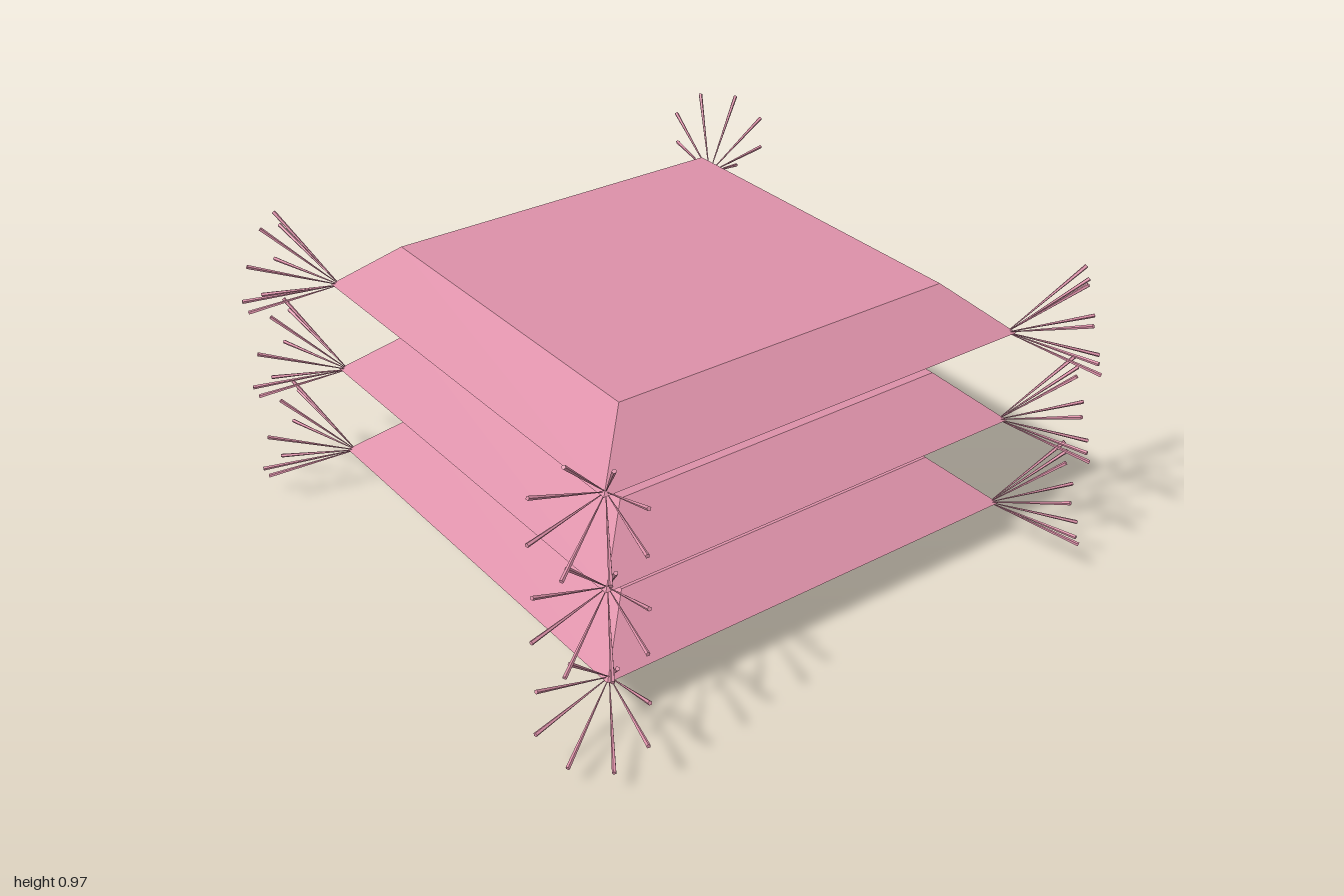
import * as THREE from 'three';

const LAYERS = 3, STEP = 0.3, THREADS = 8;

export function createModel() {
  const model = new THREE.Group();
  model.name = 'cushionStack';
  const pink = new THREE.MeshStandardMaterial({ color: 0xdd91a9, flatShading: true });
  pink.name = 'pink fabric';

  // Square cushion: a four-sided lathe, half widths turned into corner radii
  const profile = [[0, 0], [0.535, 0], [0.737, 0.16], [0.572, 0.305], [0, 0.305]]
    .map(([half, y]) => new THREE.Vector2(half * Math.SQRT2, y));
  const cushionGeo = new THREE.LatheGeometry(profile, 4, Math.PI / 4);

  // Thread: fine at the corner, thicker at the loose end, starting at its own origin
  const threadGeo = new THREE.CylinderGeometry(0.0065, 0.001, 0.3, 5);
  threadGeo.translate(0, 0.15, 0);
  const up = new THREE.Vector3(0, 1, 0);

  // Tassel: threads spread in a cone around +z, then tilted upward
  function makeTassel() {
    const tassel = new THREE.Group();
    tassel.name = 'tassel';
    for (let i = 0; i < THREADS; i++) {
      const a = ((i + 0.5) / THREADS) * Math.PI * 2;
      const dir = new THREE.Vector3(0.16 * Math.cos(a), 0.16 * Math.sin(a), 0.25);
      dir.applyAxisAngle(new THREE.Vector3(1, 0, 0), -0.23).normalize();
      const thread = new THREE.Mesh(threadGeo, pink);
      thread.name = 'thread';
      thread.quaternion.setFromUnitVectors(up, dir);
      tassel.add(thread);
    }
    return tassel;
  }

  for (let layer = 0; layer < LAYERS; layer++) {
    const group = new THREE.Group();
    group.name = 'cushionWithTassels';
    group.position.y = layer * STEP;
    const cushion = new THREE.Mesh(cushionGeo, pink);
    cushion.name = 'cushion';
    group.add(cushion);

    // One tassel on each corner, pointing out along the diagonal
    for (let corner = 0; corner < 4; corner++) {
      const angle = Math.PI / 4 + corner * Math.PI / 2;
      const tassel = makeTassel();
      const r = 0.717 * Math.SQRT2;
      tassel.position.set(Math.sin(angle) * r, 0.16, Math.cos(angle) * r);
      tassel.rotation.y = angle;
      group.add(tassel);
    }
    model.add(group);
  }
  return model;
}
